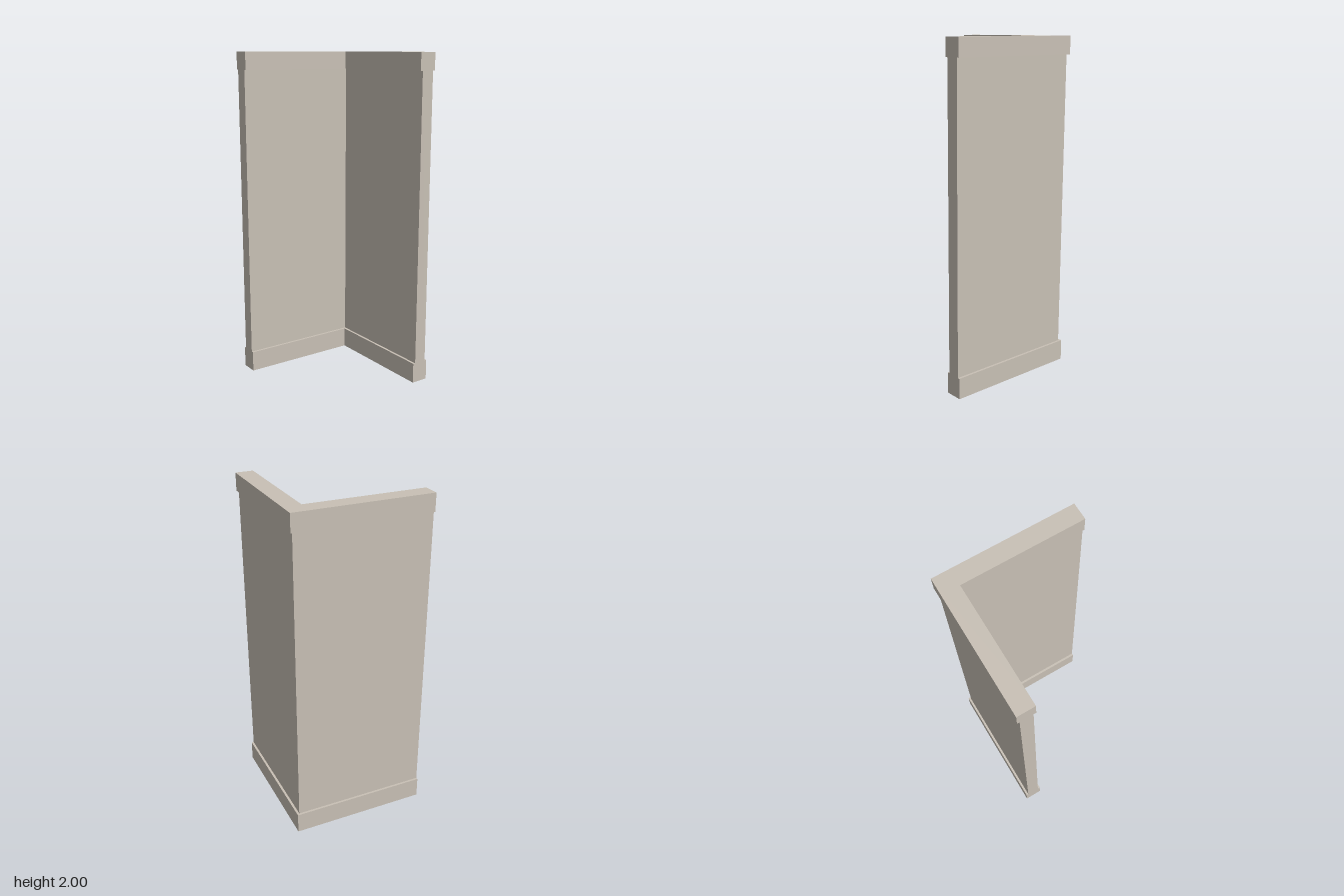
import * as THREE from 'three';

const END = 0.414; // free ends of both wings

// L-shaped plan, from the outer faces to the inner faces, extruded upward
function cornerSlab(name, outer, inner, y0, y1, material) {
  const plan = [[outer, -END], [inner, -END], [inner, -inner], [END, -inner], [END, -outer], [outer, -outer]];
  const shape = new THREE.Shape(plan.map(([x, y]) => new THREE.Vector2(x, y)));
  const geometry = new THREE.ExtrudeGeometry(shape, { depth: y1 - y0, bevelEnabled: false });
  geometry.rotateX(-Math.PI / 2);
  geometry.translate(0, y0, 0);
  const mesh = new THREE.Mesh(geometry, material);
  mesh.name = name;
  return mesh;
}

export function createModel() {
  const plaster = new THREE.MeshStandardMaterial({ color: 0xc8c0b5 });
  plaster.name = 'warm grey plaster';

  const group = new THREE.Group();
  group.name = 'cornerWall';
  group.add(
    cornerSlab('baseboard', -0.415, -0.309, 0, 0.125, plaster),
    cornerSlab('wall', -0.401, -0.324, 0.125, 1.895, plaster),
    cornerSlab('topTrim', -0.415, -0.309, 1.895, 2, plaster)
  );
  return group;
}
